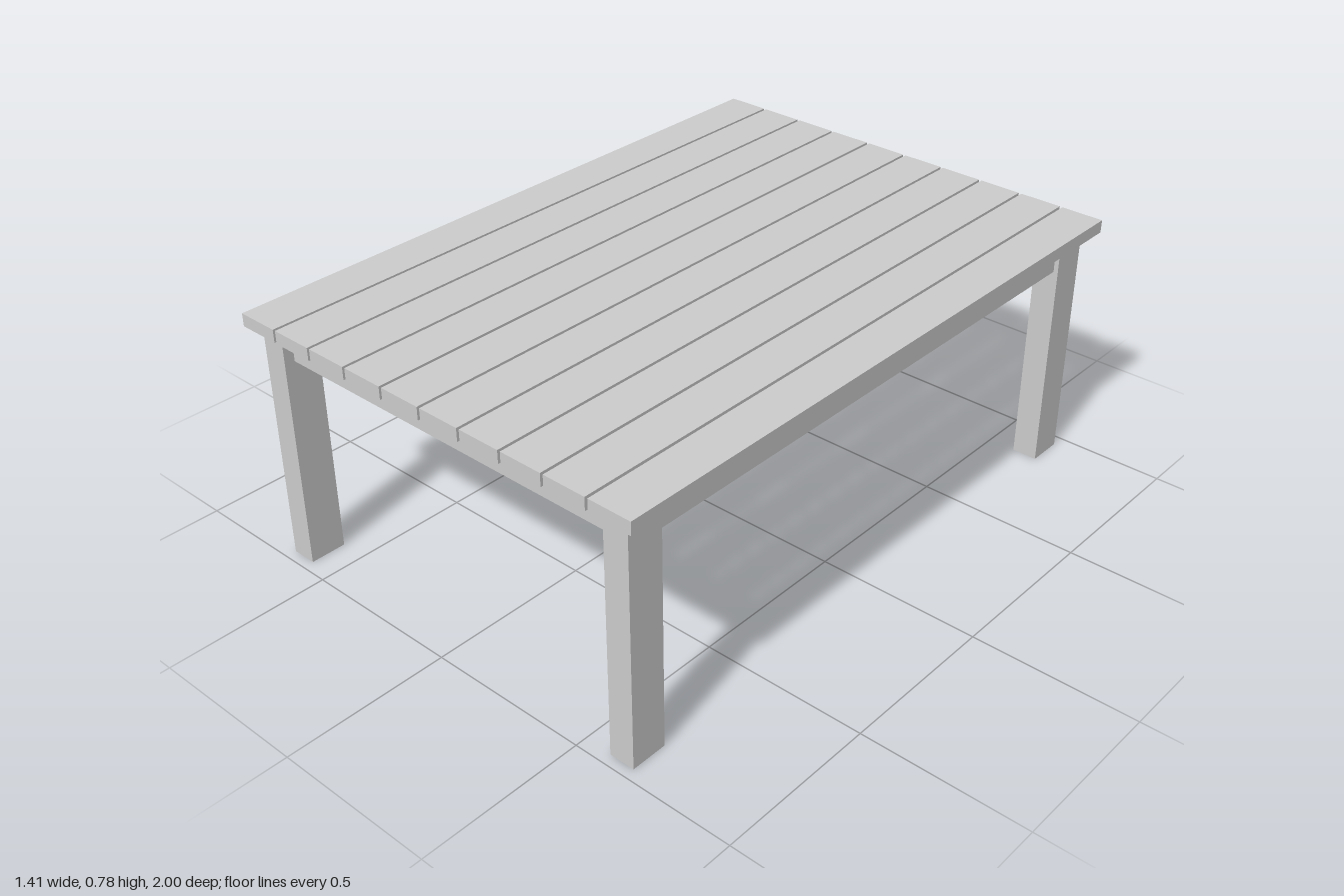
import * as THREE from 'three';

export function createModel() {
  const table = new THREE.Group();
  table.name = 'slattedTable';
  const material = new THREE.MeshStandardMaterial({ color: 0xcccccc, flatShading: true });

  // Box given by its extents along each axis
  function board(name, [x0, x1], [y0, y1], [z0, z1]) {
    const mesh = new THREE.Mesh(new THREE.BoxGeometry(x1 - x0, y1 - y0, z1 - z0), material);
    mesh.position.set((x0 + x1) / 2, (y0 + y1) / 2, (z0 + z1) / 2);
    mesh.name = name;
    table.add(mesh);
    return mesh;
  }

  // Table top: ten long planks with narrow gaps
  const count = 10, halfWidth = 0.704, gap = 0.009;
  const plankWidth = (2 * halfWidth - gap * (count - 1)) / count;
  for (let i = 0; i < count; i++) {
    const x = -halfWidth + i * (plankWidth + gap);
    board(`plank${i + 1}`, [x, x + plankWidth], [0.737, 0.776], [-0.998, 0.998]);
  }

  // Four legs, deeper than they are wide
  const legsZ = { front: [0.855, 0.967], back: [-0.958, -0.846] };
  for (const [end, z] of Object.entries(legsZ)) {
    board(`${end}LeftLeg`, [0.586, 0.664], [0, 0.745], z);
    board(`${end}RightLeg`, [-0.664, -0.586], [0, 0.745], z);
  }

  // Rails between the legs, set in from the leg faces
  const railY = [0.648, 0.748];
  board('frontRail', [-0.59, 0.59], railY, [0.88, 0.935]);
  board('backRail', [-0.59, 0.59], railY, [-0.94, -0.885]);
  board('leftRail', [0.6, 0.65], railY, [-0.85, 0.86]);
  board('rightRail', [-0.65, -0.6], railY, [-0.85, 0.86]);

  return table;
}
